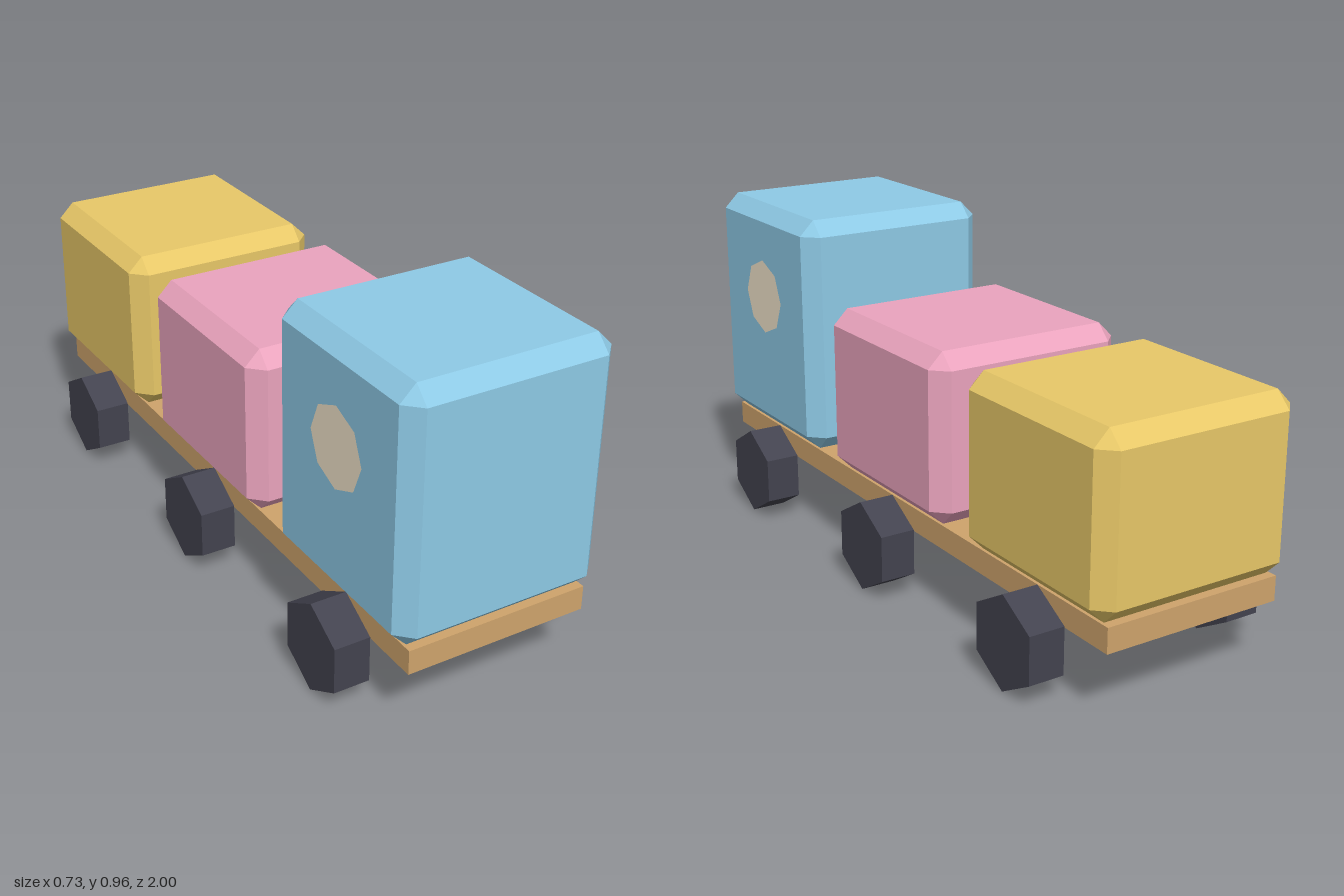
import * as THREE from 'three';
import { ConvexGeometry } from 'three/addons/geometries/ConvexGeometry.js';

const mat = (color) => new THREE.MeshStandardMaterial({ color, flatShading: true });

// Box with flat 45 degree chamfers on all edges and small triangles at the corners
function chamferBox(w, h, d, c) {
  const points = [];
  for (const x of [-w / 2, w / 2]) for (const y of [-h / 2, h / 2]) for (const z of [-d / 2, d / 2]) {
    const ix = x - Math.sign(x) * c, iy = y - Math.sign(y) * c, iz = z - Math.sign(z) * c;
    points.push(
      new THREE.Vector3(x, iy, iz),
      new THREE.Vector3(ix, y, iz),
      new THREE.Vector3(ix, iy, z));
  }
  return new ConvexGeometry(points);
}

export function createModel() {
  const model = new THREE.Group();
  model.name = 'toyTrain';

  const add = (name, geometry, material, x, y, z) => {
    const mesh = new THREE.Mesh(geometry, material);
    mesh.name = name;
    mesh.position.set(x, y, z);
    model.add(mesh);
    return mesh;
  };

  const boardTop = 0.264, spacing = 0.702, size = 0.596;

  // Long wooden board
  add('board', new THREE.BoxGeometry(0.526, 0.069, 1.965), mat(0xcfa46c), 0, boardTop - 0.0345, 0);

  // Tall cab and two lower wagons
  const blocks = [
    ['cab', 0.701, 0x8ecae6, spacing],
    ['middleWagon', 0.482, 0xeba4be, 0],
    ['rearWagon', 0.482, 0xe8c868, -spacing],
  ];
  for (const [name, h, color, z] of blocks) {
    add(name, chamferBox(size, h, size, 0.044), mat(color), 0, boardTop + h / 2, z);
  }

  // Six hexagonal wheels, each with a corner pointing up
  const wheel = new THREE.CylinderGeometry(0.132, 0.132, 0.103, 6);
  wheel.rotateY(Math.PI / 6).rotateZ(Math.PI / 2);
  const wheelMat = mat(0x43434f);
  const windowMat = mat(0xf4e6cd);
  for (const side of [1, -1]) {
    for (const z of [spacing, 0, -spacing]) {
      add(side > 0 ? 'leftWheel' : 'rightWheel', wheel, wheelMat, side * 0.3145, 0.132, z);
    }
    // Octagonal cab window
    const pane = add('cabWindow', new THREE.CircleGeometry(0.114, 8), windowMat, side * 0.3, 0.688, spacing);
    pane.rotation.y = side * Math.PI / 2;
  }

  return model;
}
